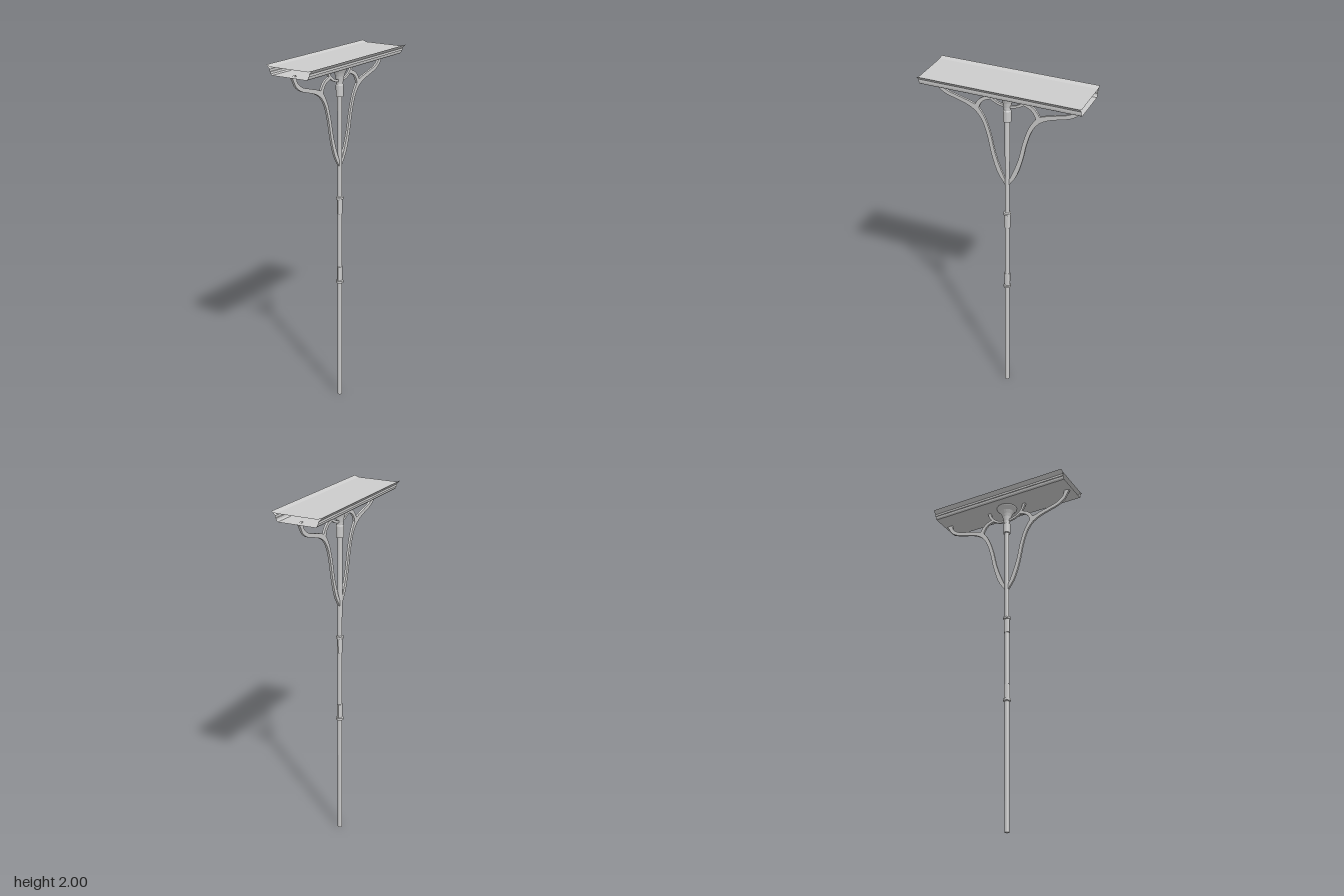
import * as THREE from 'three';

const grey = new THREE.MeshStandardMaterial({ color: 0xcccccc, flatShading: true });
const sheet = new THREE.MeshStandardMaterial({ color: 0xcccccc, flatShading: true, side: THREE.DoubleSide });

function add(parent, name, geometry, material = grey) {
  const mesh = new THREE.Mesh(geometry, material);
  mesh.name = name;
  parent.add(mesh);
  return mesh;
}

// Turned part: [radius, height] pairs from bottom to top
function turned(profile, sides = 12) {
  return new THREE.LatheGeometry(profile.map(([r, y]) => new THREE.Vector2(r, y)), sides);
}

// Open sheet: an [x, y] section swept along z
function sweep(section, halfLength) {
  const pos = [], index = [];
  section.forEach(([x, y], i) => {
    pos.push(x, y, halfLength, x, y, -halfLength);
    const a = i * 2;
    if (i) index.push(a - 2, a, a - 1, a, a + 1, a - 1);
  });
  const g = new THREE.BufferGeometry();
  g.setAttribute('position', new THREE.Float32BufferAttribute(pos, 3));
  g.setIndex(index);
  g.computeVertexNormals();
  return g;
}

// Flat curved bar in the z-y plane, through [z, y, width] points
function bar(points, depth) {
  const curve = new THREE.CatmullRomCurve3(points.map(([z, y, w]) => new THREE.Vector3(z, y, w)));
  const n = points.length * 3, left = [], right = [];
  for (let i = 0; i <= n; i++) {
    const p = curve.getPoint(i / n), t = curve.getTangent(i / n);
    const k = p.z / 2 / Math.hypot(t.x, t.y);
    left.push(new THREE.Vector2(p.x - t.y * k, p.y + t.x * k));
    right.unshift(new THREE.Vector2(p.x + t.y * k, p.y - t.x * k));
  }
  const g = new THREE.ExtrudeGeometry(new THREE.Shape([...left, ...right]), { depth, bevelEnabled: false });
  g.translate(0, 0, -depth / 2);
  return g.rotateY(-Math.PI / 2);
}

export function createModel() {
  const model = new THREE.Group();
  model.name = 'canopyPost';

  // Post
  add(model, 'post', turned([[0, 0], [0.013, 0], [0.013, 1.8], [0, 1.8]]));

  // Rings with flattened sleeves beside them
  for (const [y, dir] of [[1.22, -1], [0.725, 1]]) {
    add(model, 'ring', turned([[0.013, y - 0.009], [0.021, y - 0.006], [0.021, y + 0.006], [0.013, y + 0.009]]));
    const sleeve = add(model, 'sleeve', new THREE.CylinderGeometry(0.018, 0.018, 0.088, 12));
    sleeve.scale.x = 0.75;
    sleeve.position.y = y + dir * 0.046;
  }

  // Collar and flared capital
  add(model, 'capital', turned([
    [0.013, 1.78], [0.021, 1.78], [0.021, 1.84], [0.018, 1.846], [0.019, 1.862],
    [0.024, 1.888], [0.03, 1.905], [0.04, 1.925], [0.058, 1.945], [0.06, 1.95], [0, 1.95],
  ], 16));

  // Curved brackets on both sides
  for (const side of [1, -1]) {
    const bracket = new THREE.Group();
    bracket.name = side > 0 ? 'frontBracket' : 'backBracket';
    bracket.rotation.y = side > 0 ? 0 : Math.PI;
    add(bracket, 'stem', bar([
      [0.004, 1.405, 0.014], [0.04, 1.47, 0.025], [0.075, 1.57, 0.022], [0.1, 1.68, 0.021],
      [0.13, 1.765, 0.022], [0.165, 1.815, 0.028], [0.185, 1.832, 0.034],
    ], 0.012));
    add(bracket, 'arm', bar([
      [0.175, 1.825, 0.03], [0.215, 1.842, 0.024], [0.285, 1.862, 0.021], [0.335, 1.877, 0.021],
      [0.375, 1.905, 0.022], [0.39, 1.932, 0.024], [0.397, 1.951, 0.034],
    ], 0.012));
    add(bracket, 'branch', bar([
      [0.172, 1.815, 0.026], [0.155, 1.855, 0.022], [0.13, 1.88, 0.019], [0.088, 1.897, 0.018],
    ], 0.012));
    add(bracket, 'innerArc', bar([
      [0.118, 1.951, 0.018], [0.107, 1.92, 0.015], [0.085, 1.892, 0.014], [0.05, 1.872, 0.013], [0, 1.862, 0.013],
    ], 0.012));
    model.add(bracket);
  }

  // Hollow canopy, open at both ends
  const canopy = new THREE.Group();
  canopy.name = 'canopy';
  const half = [[0.105, 1.95], [0.112, 1.957], [0.114, 1.967], [0.118, 1.968], [0.118, 1.98], [0.138, 2]];
  const mirrored = half.map(([x, y]) => [-x, y]).reverse();
  add(canopy, 'cornice', sweep([...mirrored, ...half], 0.43), sheet);
  add(canopy, 'topSheet', sweep([[0.138, 2], [0.115, 1.991], [-0.115, 1.991], [-0.138, 2]], 0.43), sheet);
  model.add(canopy);

  return model;
}
